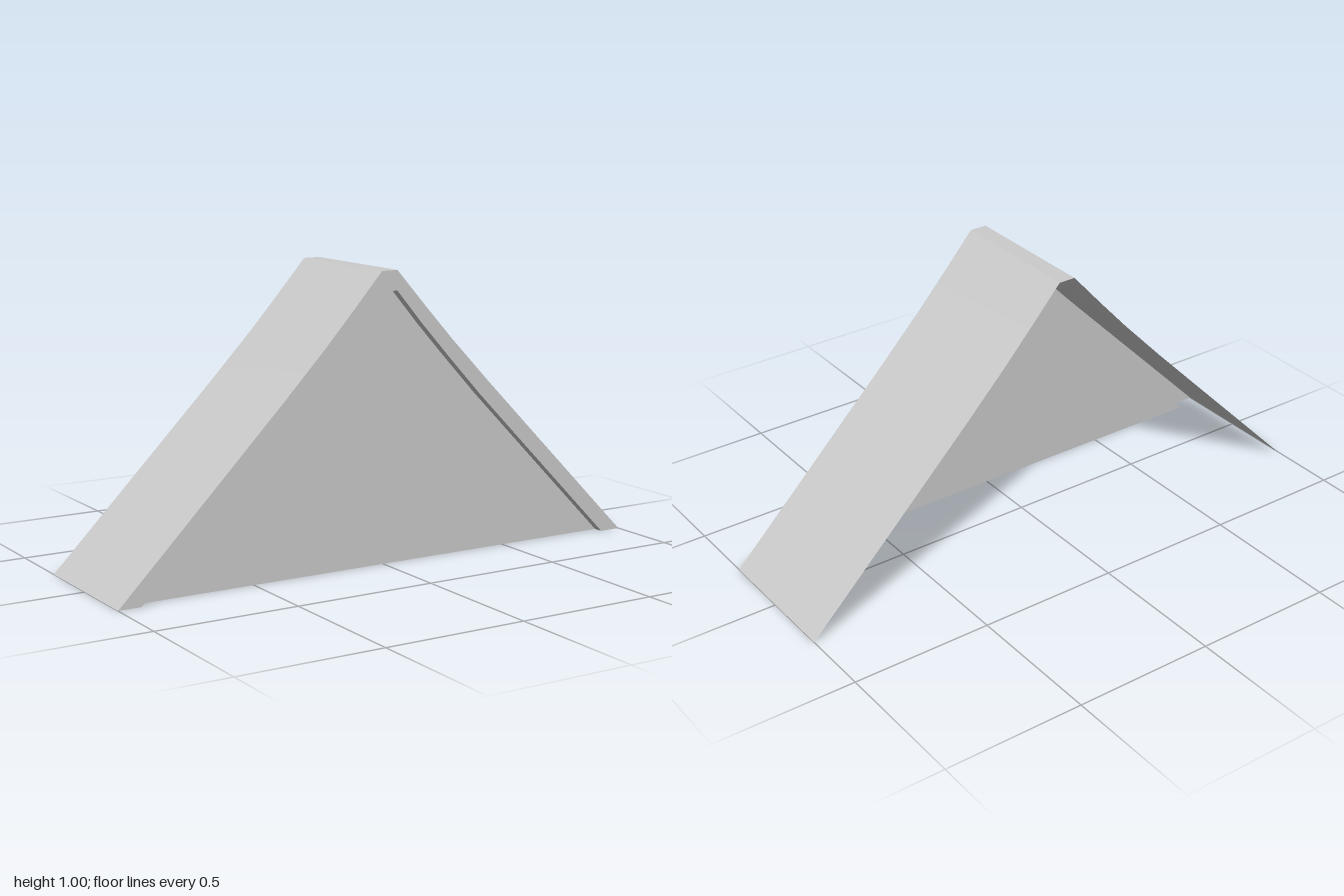
import * as THREE from 'three';
import { toCreasedNormals } from 'three/addons/utils/BufferGeometryUtils.js';

const HALF_DEPTH = 0.25;
const PANEL_Z = 0.215;

// Half profiles from ridge to eave; the slopes sag very slightly.
const OUTER = [[0.03, 1], [0.14, 0.877], [0.25, 0.757], [0.4, 0.602], [0.6, 0.401], [1, 0]];
const INNER = [[0.03, 0.932], [0.13, 0.815], [0.23, 0.705], [0.37, 0.555], [0.55, 0.373], [0.92, 0]];

// Mirror a half profile into a full line running from -x to +x.
function mirrored(half) {
  const left = half.map(([x, y]) => new THREE.Vector2(-x, y)).reverse();
  return left.concat(half.map(([x, y]) => new THREE.Vector2(x, y)));
}

// Thin sheet sweeping a profile line along z, with its front upward.
function sheet(line, zBack, zFront) {
  const positions = [];
  const index = [];
  line.forEach((p, i) => {
    positions.push(p.x, p.y, zBack, p.x, p.y, zFront);
    if (i > 0) {
      const a = 2 * i - 2;
      index.push(a, a + 1, a + 3, a, a + 3, a + 2);
    }
  });
  const geometry = new THREE.BufferGeometry();
  geometry.setAttribute('position', new THREE.Float32BufferAttribute(positions, 3));
  geometry.setIndex(index);
  return toCreasedNormals(geometry, 0.4);
}

export function createModel() {
  const group = new THREE.Group();
  const material = new THREE.MeshStandardMaterial({ color: 0xcccccc, side: THREE.DoubleSide });
  const add = (name, geometry, z = 0) => {
    const mesh = new THREE.Mesh(geometry, material);
    mesh.name = name;
    mesh.position.z = z;
    group.add(mesh);
  };
  const outer = mirrored(OUTER);
  const inner = mirrored(INNER);

  // Roof slopes and flat ridge, open at the back and underneath
  add('roofSheet', sheet(outer, -HALF_DEPTH, HALF_DEPTH));

  // Flat trim band along the front edge of the roof
  const band = new THREE.Shape([...outer, ...inner.slice().reverse()]);
  add('frontTrim', new THREE.ShapeGeometry(band), HALF_DEPTH);

  // Narrow return from the trim back to the panel
  add('trimReturn', sheet(inner, PANEL_Z, HALF_DEPTH));

  // Recessed gable panel
  add('gablePanel', new THREE.ShapeGeometry(new THREE.Shape(inner)), PANEL_Z);

  return group;
}
